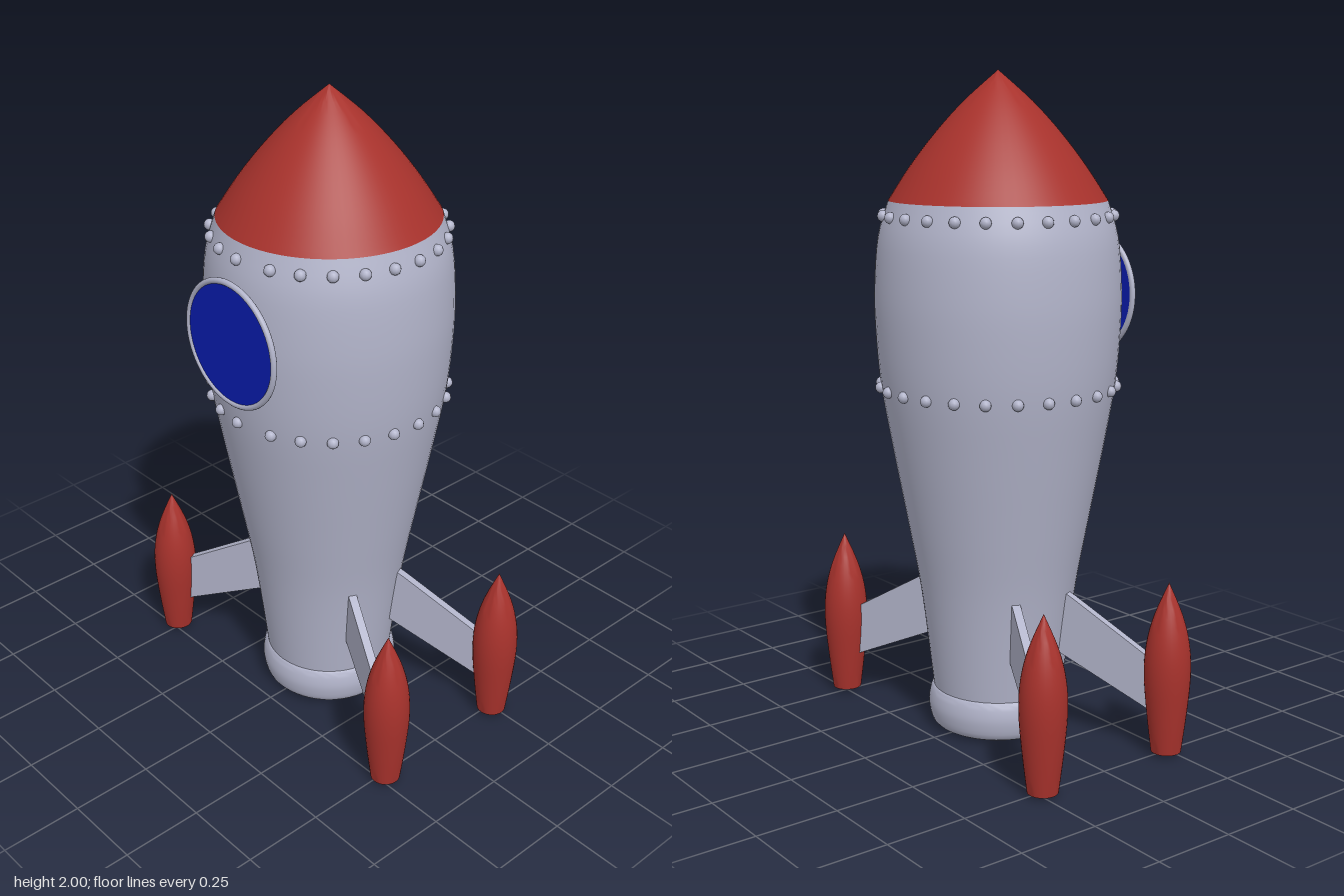
import * as THREE from 'three';
import { toCreasedNormals } from 'three/addons/utils/BufferGeometryUtils.js';

const material = (color) => new THREE.MeshStandardMaterial({ color });
const CENTER_Z = -0.005;

export function createModel() {
  const metal = material(0xb2b4ca);
  const red = material(0xa8322c);
  const blue = material(0x0a1cb0);
  const model = new THREE.Group();

  const add = (name, geometry, mat, parent = model) => {
    const mesh = new THREE.Mesh(geometry, mat);
    mesh.name = name;
    parent.add(mesh);
    return mesh;
  };

  // Smooth curve through [radius, height] points
  const curve = (points, steps) =>
    new THREE.SplineCurve(points.map(([r, y]) => new THREE.Vector2(r, y))).getPoints(steps);

  const lathe = (points, segments) =>
    toCreasedNormals(new THREE.LatheGeometry(points, segments), 0.6);

  const rocket = new THREE.Group();
  rocket.name = 'rocket';
  rocket.position.z = CENTER_Z;
  model.add(rocket);

  // Hull: narrow at the tail, widest near the window
  const hull = curve([[0.2, 0.13], [0.236, 0.43], [0.275, 0.65], [0.318, 0.88], [0.352, 1.08],
    [0.366, 1.25], [0.367, 1.38], [0.355, 1.52], [0.324, 1.625]], 32);
  add('hull', lathe(hull, 64), metal, rocket);

  // Nose cone, slightly bulged
  const nose = curve([[0.324, 1.625], [0.262, 1.72], [0.185, 1.82], [0.1, 1.912], [0, 2]], 16);
  nose[nose.length - 1].x = 0;
  add('noseCone', lathe(nose, 64), red, rocket);

  // Rounded tail ring with a flat underside
  const tail = curve([[0.17, 0.005], [0.203, 0.022], [0.215, 0.065], [0.214, 0.1], [0.204, 0.132], [0.185, 0.143]], 18);
  add('tailRing', lathe([new THREE.Vector2(0, 0.005), ...tail, new THREE.Vector2(0, 0.143)], 64), metal, rocket);

  // Two rows of rivets, with a wider gap beside the front one
  const rivet = new THREE.SphereGeometry(0.017, 12, 8);
  for (const [name, y, radius] of [['lowerRivet', 1.075, 0.354], ['upperRivet', 1.582, 0.341]]) {
    for (let i = 0; i < 24; i++) {
      const a = THREE.MathUtils.degToRad(20 + (340 / 23) * i);
      add(name, rivet, metal, rocket).position.set(Math.sin(a) * radius, y, Math.cos(a) * radius);
    }
  }

  // Round window: flat pane in a rounded rim
  const windowGroup = new THREE.Group();
  windowGroup.name = 'window';
  windowGroup.position.set(0, 1.332, 0.365);
  model.add(windowGroup);
  add('windowRim', new THREE.TorusGeometry(0.186, 0.009, 12, 64), metal, windowGroup);
  const pane = new THREE.CylinderGeometry(0.183, 0.183, 0.01, 64).rotateX(Math.PI / 2);
  add('windowPane', pane, blue, windowGroup).position.z = -0.001;

  // Booster pods on slanted fins
  const podSide = curve([[0.045, 0.015], [0.059, 0.13], [0.069, 0.25], [0.064, 0.345], [0.042, 0.435], [0, 0.535]], 20);
  podSide[podSide.length - 1].x = 0;
  const podShape = lathe([new THREE.Vector2(0, 0.015), ...podSide], 32);

  const finShape = new THREE.Shape([[0.18, 0.485], [0.26, 0.443], [0.54, 0.282], [0.54, 0.125],
    [0.22, 0.265], [0.18, 0.283]].map(([x, y]) => new THREE.Vector2(x, y)));
  const finThickness = 0.026;
  const finGeometry = new THREE.ExtrudeGeometry(finShape, { depth: finThickness, bevelEnabled: false });
  finGeometry.translate(0, 0, -finThickness / 2);

  for (const sx of [1, -1]) {
    for (const sz of [1, -1]) {
      const x = 0.514 * sx;
      const z = 0.235 * sz;
      const booster = new THREE.Group();
      booster.name = (sz > 0 ? 'front' : 'back') + (sx > 0 ? 'Left' : 'Right') + 'Booster';
      rocket.add(booster);
      add('pod', podShape, red, booster).position.set(x, 0, z);
      add('fin', finGeometry, metal, booster).rotation.y = Math.atan2(-z, x);
    }
  }

  return model;
}
